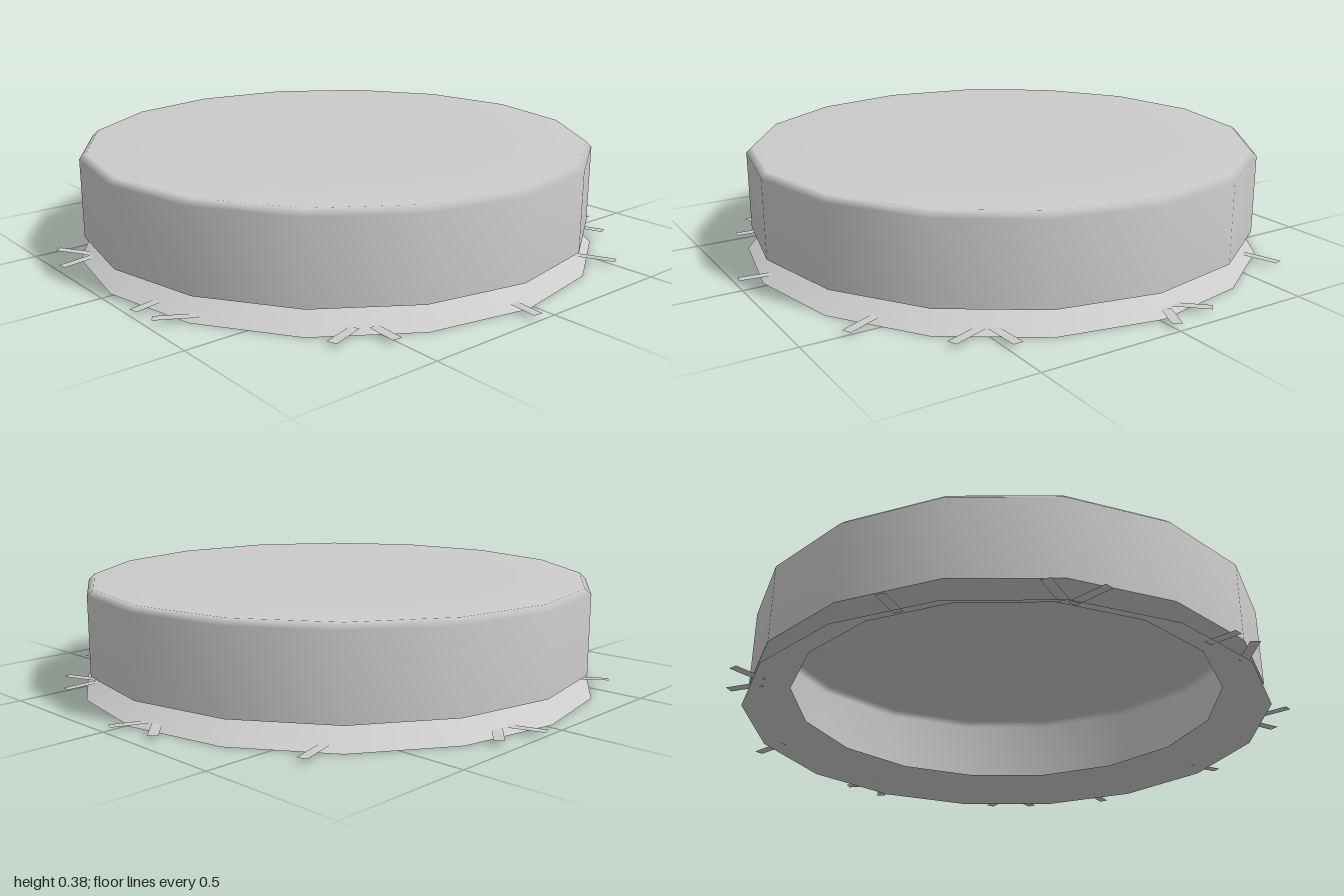
import * as THREE from 'three';

const SIDES = 16;
const material = new THREE.MeshStandardMaterial({ color: 0xcccccc, side: THREE.DoubleSide });

// One sixteen-sided ring surface turned from [radius, height] points
function turned(name, points) {
  const profile = points.map(([r, y]) => new THREE.Vector2(r, y));
  const mesh = new THREE.Mesh(new THREE.LatheGeometry(profile, SIDES), material);
  mesh.name = name;
  mesh.position.set(-0.026, 0, -0.014);
  return mesh;
}

// Flat strip from inner point to outer point on the ground plane
function strip([x0, z0, x1, z1]) {
  const dx = x1 - x0, dz = z1 - z0;
  const visible = Math.hypot(dx, dz), tuck = 0.03;
  const geometry = new THREE.PlaneGeometry(visible + tuck, 0.034);
  geometry.rotateX(-Math.PI / 2);
  geometry.translate((visible - tuck) / 2, 0, 0);
  const mesh = new THREE.Mesh(geometry, material);
  mesh.name = 'strip';
  mesh.position.set(x0, 0.016, z0);
  mesh.rotation.y = Math.atan2(-dz, dx);
  return mesh;
}

export function createModel() {
  const model = new THREE.Group();
  model.name = 'roundCap';

  // Hollow cap with a small bevel at its top edge
  model.add(turned('cap', [[0.917, 0.08], [0.917, 0.36], [0.895, 0.38], [0.62, 0.38], [0, 0.38]]));
  // Ledge under the cap and the flared skirt below it
  model.add(turned('ledge', [[0.775, 0.08], [0.917, 0.08]]));
  model.add(turned('skirt', [[0.935, 0], [0.775, 0.08]]));

  // Loose strips sticking out around the skirt: inner x, z, outer x, z
  const strips = new THREE.Group();
  strips.name = 'strips';
  [
    [0.115, -0.91, 0.085, -1.0], [0.185, -0.89, 0.262, -0.95],
    [0.66, -0.61, 0.775, -0.645], [0.88, -0.11, 0.945, -0.18],
    [0.90, -0.04, 0.98, -0.005], [0.74, 0.475, 0.84, 0.47],
    [0.70, 0.53, 0.737, 0.63], [0.46, 0.76, 0.505, 0.855],
    [-0.055, 0.90, -0.065, 0.99], [-0.505, 0.77, -0.51, 0.85],
    [-0.58, 0.72, -0.67, 0.75], [-0.88, 0.33, -0.975, 0.275],
    [-0.91, 0.17, -0.99, 0.188], [-0.88, -0.33, -0.99, -0.307],
    [-0.87, -0.39, -0.925, -0.48], [-0.55, -0.75, -0.60, -0.82],
  ].forEach((s) => strips.add(strip(s)));
  model.add(strips);

  return model;
}
